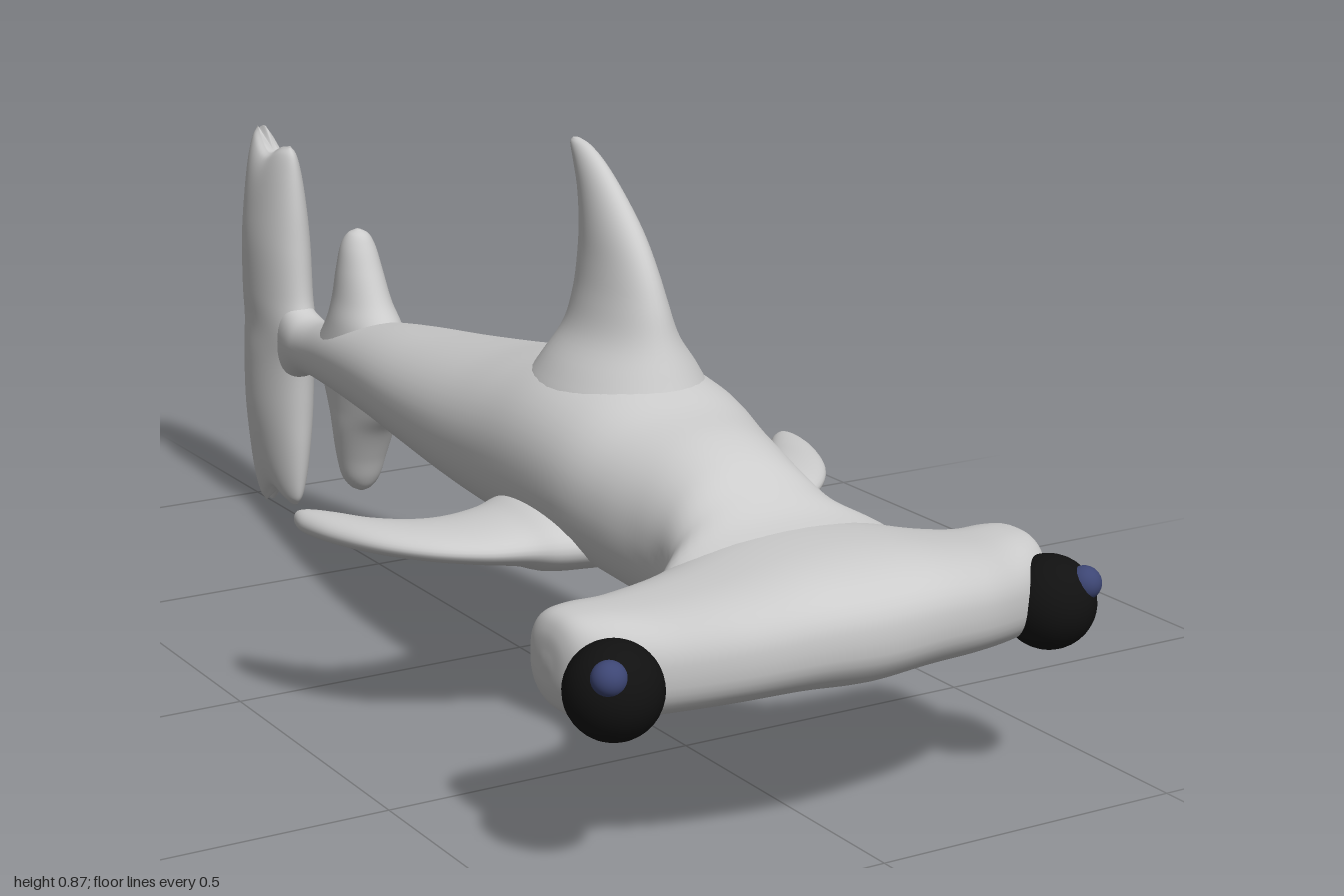
import * as THREE from 'three';

const V = (x, y, z) => new THREE.Vector3(x, y, z);
const grey = new THREE.MeshStandardMaterial({ color: 0xcccccc });
const black = new THREE.MeshStandardMaterial({ color: 0x111111 });
const blue = new THREE.MeshStandardMaterial({ color: 0x3d4674 });

// Smooth closed loft. Each section is [chord start, chord end, half-thickness vector].
function loft(name, sections, { rings = 48, sides = 36, power = 2, warp } = {}) {
  const [A, B, T] = [0, 1, 2].map(k =>
    new THREE.CatmullRomCurve3(sections.map(s => s[k]), false, 'catmullrom', 0.5));
  const pos = [], idx = [];
  const add = p => { if (warp) warp(p); pos.push(p.x, p.y, p.z); };
  const bend = c => Math.sign(c) * Math.pow(Math.abs(c), 2 / power);
  for (let i = 0; i <= rings; i++) {
    const u = i / rings, a = A.getPoint(u), b = B.getPoint(u), t = T.getPoint(u);
    const mid = a.clone().add(b).multiplyScalar(0.5), half = a.clone().sub(mid);
    for (let j = 0; j < sides; j++) {
      const q = j / sides * Math.PI * 2;
      add(mid.clone().addScaledVector(half, bend(Math.cos(q))).addScaledVector(t, bend(Math.sin(q))));
    }
  }
  for (let i = 0; i < rings; i++) for (let j = 0; j < sides; j++) {
    const p = i * sides + j, q = i * sides + (j + 1) % sides;
    idx.push(p, q, p + sides, q, q + sides, p + sides);
  }
  // end caps
  const c = (rings + 1) * sides, last = rings * sides;
  for (const u of [0, 1]) add(A.getPoint(u).add(B.getPoint(u)).multiplyScalar(0.5));
  for (let j = 0; j < sides; j++) {
    const k = (j + 1) % sides;
    idx.push(c, k, j, c + 1, last + j, last + k);
  }
  // turn faces outward if the signed volume is negative
  let vol = 0;
  const at = i => V(pos[3 * i], pos[3 * i + 1], pos[3 * i + 2]);
  for (let i = 0; i < idx.length; i += 3) vol += at(idx[i]).dot(at(idx[i + 1]).cross(at(idx[i + 2])));
  if (vol < 0) idx.reverse();
  const g = new THREE.BufferGeometry();
  g.setAttribute('position', new THREE.Float32BufferAttribute(pos, 3));
  g.setIndex(idx);
  g.computeVertexNormals();
  const mesh = new THREE.Mesh(g, grey);
  mesh.name = name;
  return mesh;
}

// Upright fin from rows of [y, front z, back z, half width]
const uprightFin = (name, rows, opts) =>
  loft(name, rows.map(([y, f, b, w]) => [V(0, y, f), V(0, y, b), V(w, 0, 0)]), opts);

export function createModel() {
  const shark = new THREE.Group();
  shark.name = 'shark';

  // Body: z, top, bottom, half width; flares into the head at the neck
  const body = [
    [0.86, 0.395, 0.25, 0.15], [0.8, 0.41, 0.235, 0.2], [0.74, 0.425, 0.228, 0.21],
    [0.69, 0.45, 0.225, 0.162], [0.64, 0.482, 0.225, 0.141], [0.58, 0.505, 0.23, 0.143],
    [0.5, 0.522, 0.24, 0.16], [0.4, 0.55, 0.25, 0.178], [0.28, 0.56, 0.255, 0.184],
    [0.15, 0.54, 0.26, 0.181], [0, 0.51, 0.27, 0.17], [-0.2, 0.48, 0.283, 0.142],
    [-0.4, 0.455, 0.29, 0.106], [-0.6, 0.42, 0.292, 0.068], [-0.72, 0.392, 0.292, 0.048],
    [-0.78, 0.4, 0.28, 0.043], [-0.84, 0.44, 0.24, 0.036],
  ];
  shark.add(loft('body', body.map(([z, t, b, w]) => [V(0, t, z), V(0, b, z), V(w, 0, 0)]),
    { rings: 96, sides: 48, power: 2.15 }));

  // Hammer head: x, front z, back z, top, bottom; mirrored across the middle
  const side = [
    [0.1, 0.993, 0.66, 0.41, 0.233], [0.2, 0.965, 0.7, 0.389, 0.23], [0.29, 0.92, 0.7, 0.37, 0.22],
    [0.35, 0.882, 0.7, 0.366, 0.215], [0.385, 0.85, 0.71, 0.358, 0.222], [0.4, 0.82, 0.73, 0.335, 0.25],
    [0.404, 0.785, 0.765, 0.3, 0.285],
  ];
  const head = [...side.map(([x, ...r]) => [-x, ...r]).reverse(), [0, 1, 0.62, 0.416, 0.225], ...side];
  shark.add(loft('hammerHead', head.map(([x, f, b, t, u]) =>
    [V(x, (t + u) / 2, f), V(x, (t + u) / 2, b), V(0, (t - u) / 2, 0)]),
    { rings: 84, sides: 48, power: 2.5 }));

  // Upright fins
  shark.add(uprightFin('dorsalFin', [
    [0.43, 0.48, 0.08, 0.15], [0.5, 0.465, 0.12, 0.135], [0.55, 0.445, 0.155, 0.108], [0.6, 0.424, 0.184, 0.072],
    [0.65, 0.408, 0.196, 0.054], [0.7, 0.385, 0.2, 0.043], [0.75, 0.35, 0.2, 0.035],
    [0.8, 0.3, 0.19, 0.026], [0.84, 0.25, 0.172, 0.018], [0.862, 0.21, 0.16, 0.011], [0.87, 0.18, 0.165, 0.004],
  ]));
  shark.add(uprightFin('rearDorsalFin', [
    [0.38, -0.42, -0.68, 0.065], [0.43, -0.448, -0.64, 0.056], [0.47, -0.482, -0.624, 0.046], [0.52, -0.51, -0.612, 0.038],
    [0.56, -0.53, -0.6, 0.03], [0.582, -0.544, -0.586, 0.019], [0.591, -0.56, -0.57, 0.004],
  ]));
  shark.add(uprightFin('analFin', [
    [0.33, -0.42, -0.68, 0.055], [0.28, -0.452, -0.648, 0.052], [0.24, -0.484, -0.626, 0.05], [0.19, -0.512, -0.614, 0.043],
    [0.15, -0.53, -0.602, 0.034], [0.129, -0.544, -0.588, 0.02], [0.12, -0.56, -0.57, 0.004],
  ]));

  // Tail fin, with notched tips from a height that varies along z
  const half = [
    [0, -0.77, -1, 0.048], [0.06, -0.787, -1, 0.05], [0.15, -0.796, -0.997, 0.05], [0.22, -0.802, -0.992, 0.044],
    [0.28, -0.81, -0.985, 0.035], [0.315, -0.818, -0.975, 0.024], [0.33, -0.83, -0.965, 0.01],
  ];
  const row = s => ([h, f, b, w]) => [0.356 + s * h, f, b, w];
  shark.add(uprightFin('tailFin', [...half.slice(1).map(row(-1)).reverse(), ...half.map(row(1))], {
    rings: 96, sides: 48,
    warp: p => {
      const d = p.y - 0.356, k = Math.pow(Math.abs(d) / 0.33, 5);
      const bump = (c, w) => Math.exp(-(((p.z - c) / w) ** 2));
      p.y += Math.sign(d) * k * (0.026 * bump(-0.95, 0.025) + 0.006 * bump(-0.84, 0.025) - 0.014 * bump(-0.89, 0.03));
    },
  }));

  // Pectoral fins: leading x, z, trailing x, z, half thickness, height
  const pectoral = [
    [0.1, 0.45, 0.1, 0.17, 0.055, 0.31], [0.17, 0.435, 0.17, 0.195, 0.05, 0.31], [0.215, 0.413, 0.21, 0.208, 0.037, 0.31],
    [0.28, 0.388, 0.265, 0.21, 0.028, 0.31], [0.345, 0.345, 0.315, 0.2, 0.024, 0.312],
    [0.4, 0.28, 0.36, 0.172, 0.022, 0.314], [0.437, 0.2, 0.39, 0.135, 0.021, 0.315],
    [0.452, 0.135, 0.415, 0.104, 0.018, 0.315], [0.449, 0.1, 0.432, 0.092, 0.012, 0.315],
    [0.442, 0.09, 0.438, 0.089, 0.003, 0.315],
  ];
  for (const s of [1, -1]) {
    const label = s > 0 ? 'left' : 'right';
    shark.add(loft(label + 'PectoralFin', pectoral.map(([ax, az, bx, bz, t, y]) =>
      [V(s * ax, y, az), V(s * bx, y, bz), V(0, t, 0)])));

    // Eyes
    const ball = (name, r, mat, x, y, z) => {
      const m = new THREE.Mesh(new THREE.SphereGeometry(r, 32, 20), mat);
      m.name = label + name;
      m.position.set(s * x, y, z);
      shark.add(m);
    };
    ball('Eye', 0.069, black, 0.363, 0.28, 0.883);
    ball('Pupil', 0.025, blue, 0.394, 0.314, 0.922);
  }
  return shark;
}
